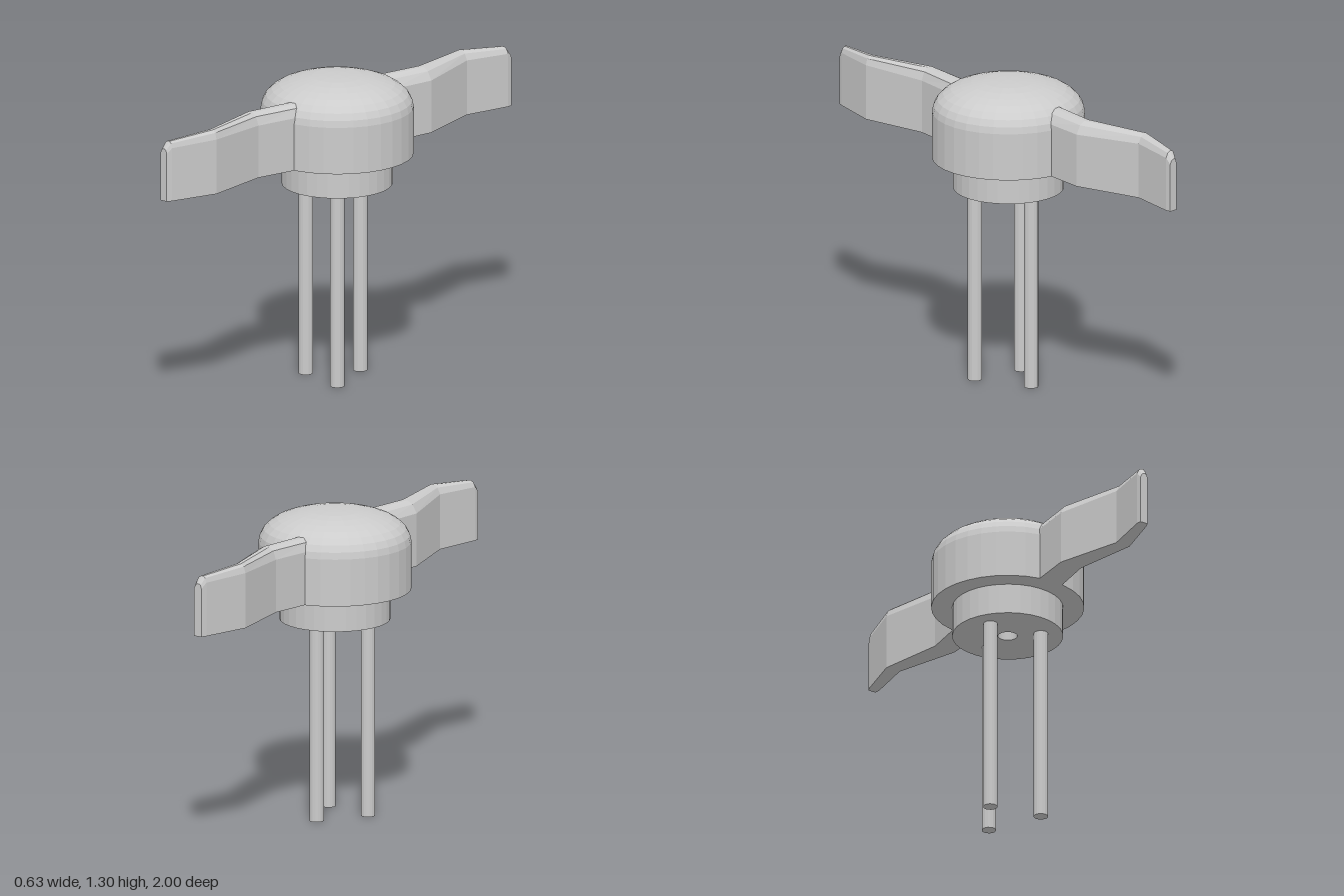
import * as THREE from 'three';

const material = new THREE.MeshStandardMaterial({ color: 0xcccccc, flatShading: true, side: THREE.DoubleSide });
const CX = -0.002, CZ = -0.005;

function addMesh(parent, geometry, name, x = 0, y = 0, z = 0) {
  const mesh = new THREE.Mesh(geometry, material);
  mesh.name = name;
  mesh.position.set(x, y, z);
  parent.add(mesh);
  return mesh;
}

function lathe(points) {
  return new THREE.LatheGeometry(points.map(([r, y]) => new THREE.Vector2(r, y)), 32);
}

// Zigzag blade lofted through bevelled cross-sections: [z, left x, right x, top y]
function wingGeometry() {
  const bottom = 0.965;
  const stations = [
    [0.2, -0.05, 0.07, 1.24],
    [0.285, -0.06, 0.055, 1.24],
    [0.485, -0.085, 0.017, 1.24],
    [0.775, -0.011, 0.056, 1.237],
    [0.978, -0.052, -0.004, 1.22],
    [1.0, -0.05, -0.014, 1.19],
  ];
  // Outline of one section: side position (-1..1) and drop below the top
  const outline = [[-1, null], [-1, 0.05], [-0.6, 0.014], [-0.1, 0], [0.35, 0], [0.75, 0.014], [1, 0.05], [1, null]];
  const n = outline.length;
  const positions = [], index = [];
  stations.forEach(([z, left, right, top]) => {
    const mid = (left + right) / 2, half = (right - left) / 2;
    const bevel = Math.min(1, half / 0.045);
    outline.forEach(([s, drop]) => {
      positions.push(mid + s * half, drop === null ? bottom : top - drop * bevel, z);
    });
  });
  for (let k = 0; k < stations.length - 1; k++) {
    for (let i = 0; i < n; i++) {
      const a = k * n + i, b = k * n + (i + 1) % n;
      index.push(a, a + n, b + n, a, b + n, b);
    }
  }
  // Tip and root caps
  const tip = (stations.length - 1) * n;
  for (let i = 1; i < n - 1; i++) {
    index.push(tip, tip + i + 1, tip + i);
    index.push(0, i, i + 1);
  }
  const geometry = new THREE.BufferGeometry();
  geometry.setAttribute('position', new THREE.Float32BufferAttribute(positions, 3));
  geometry.setIndex(index);
  geometry.computeVertexNormals();
  return geometry;
}

export function createModel() {
  const group = new THREE.Group();
  group.name = 'wingKnob';

  // Domed cap
  addMesh(group, lathe([
    [0.2, 0.965], [0.317, 0.965], [0.317, 1.165], [0.311, 1.193], [0.296, 1.22],
    [0.272, 1.243], [0.24, 1.263], [0.2, 1.278], [0.155, 1.29], [0.105, 1.298],
    [0.053, 1.301], [0, 1.302],
  ]), 'domedCap', CX, 0, CZ);

  // Collar with a blind hole in its underside
  addMesh(group, lathe([
    [0, 0.96], [0.04, 0.96], [0.04, 0.835], [0.23, 0.835], [0.23, 0.965],
  ]), 'collar', CX, 0, CZ);

  // Three pins
  const pinHeight = 0.84;
  const pin = new THREE.CylinderGeometry(0.03, 0.03, pinHeight, 16);
  [[-0.13, 0.05], [0, -0.14], [0.095, 0.095]].forEach(([x, z], i) => {
    addMesh(group, pin, `pin${i + 1}`, x, pinHeight / 2, z);
  });

  // Two wings, the back one turned half way round
  const wing = wingGeometry();
  addMesh(group, wing, 'frontWing');
  addMesh(group, wing, 'backWing', -0.008).rotation.y = Math.PI;

  return group;
}
